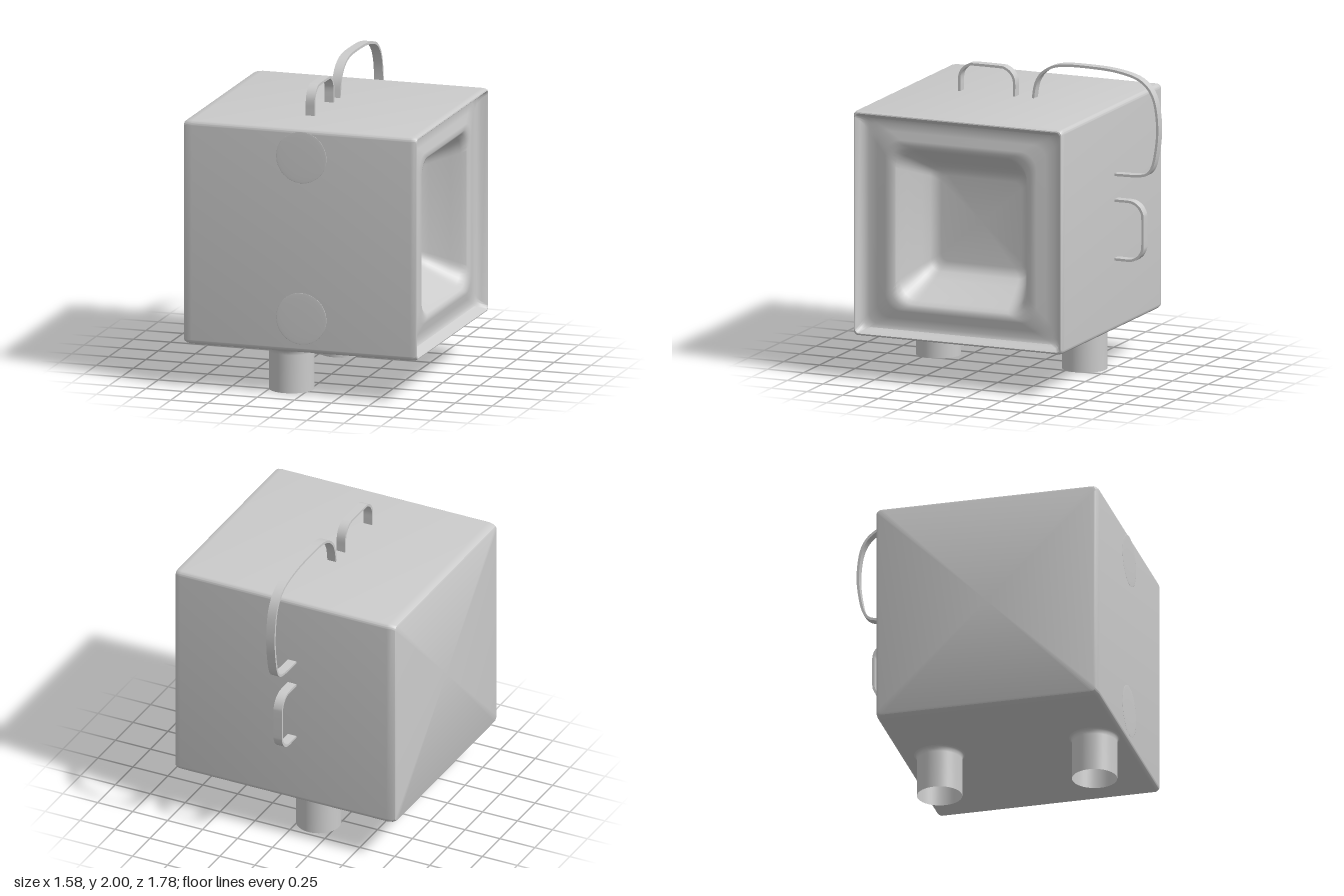
import * as THREE from 'three';
import { toCreasedNormals } from 'three/addons/utils/BufferGeometryUtils.js';

const MID_Y = 1.02, MID_Z = 0.155;
const grey = new THREE.MeshStandardMaterial({ color: 0xcccccc });
const greyBoth = new THREE.MeshStandardMaterial({ color: 0xcccccc, side: THREE.DoubleSide });

function named(name, geometry, material = grey) {
  const mesh = new THREE.Mesh(geometry, material);
  mesh.name = name;
  return mesh;
}

// Rounded rectangle in the zy plane, counted from +z towards +y
function roundedLoop(hz, hy, r, steps = 8) {
  const points = [];
  const signs = [[1, 1], [-1, 1], [-1, -1], [1, -1]];
  signs.forEach(([sz, sy], corner) => {
    for (let i = 0; i <= steps; i++) {
      const a = (corner + i / steps) * Math.PI / 2;
      points.push([sz * (hz - r) + r * Math.cos(a), sy * (hy - r) + r * Math.sin(a)]);
    }
  });
  return points;
}

// Skins rings of [x, half depth, half height, corner radius]
function skin(rings) {
  const positions = [], index = [];
  let n = 0;
  for (const [x, hz, hy, r] of rings) {
    const loop = roundedLoop(hz, hy, r);
    n = loop.length;
    for (const [z, y] of loop) positions.push(x, MID_Y + y, MID_Z + z);
  }
  for (let i = 0; i < rings.length - 1; i++) {
    for (let j = 0; j < n; j++) {
      const a = i * n + j, d = i * n + (j + 1) % n;
      index.push(a, a + n, d + n, a, d + n, d);
    }
  }
  const geometry = new THREE.BufferGeometry();
  geometry.setAttribute('position', new THREE.Float32BufferAttribute(positions, 3));
  geometry.setIndex(index);
  return toCreasedNormals(geometry, 0.7);
}

// Flat strap following a [z, y] path, 0.06 wide along x
function strap(path, tension) {
  const curve = new THREE.CatmullRomCurve3(
    path.map(([z, y]) => new THREE.Vector3(z, y, 0)), false, 'catmullrom', tension);
  const outer = [], inner = [], count = 64, half = 0.008;
  for (let i = 0; i <= count; i++) {
    const p = curve.getPointAt(i / count), t = curve.getTangentAt(i / count);
    outer.push(new THREE.Vector2(p.x - t.y * half, p.y + t.x * half));
    inner.unshift(new THREE.Vector2(p.x + t.y * half, p.y - t.x * half));
  }
  const geometry = new THREE.ExtrudeGeometry(new THREE.Shape([...outer, ...inner]),
    { depth: 0.06, bevelEnabled: false });
  geometry.rotateY(-Math.PI / 2).translate(-0.025, 0, 0);
  return toCreasedNormals(geometry, 0.7);
}

// Small bracket: u runs along the face, v rises from it
function bracketPath(length, height) {
  const r = 0.1, points = [[0, -0.01], [0, (height - r) / 2]];
  for (let i = 0; i <= 5; i++) {
    const a = i / 5 * Math.PI / 2;
    points.push([r * (1 - Math.cos(a)), height - r * (1 - Math.sin(a))]);
  }
  return [...points, ...points.map(([u, v]) => [length - u, v]).reverse()];
}

export function createModel() {
  const model = new THREE.Group();

  // Box with soft edges and a deep pocket in its +x side
  model.add(named('body', skin([
    [-0.79, 0, 0, 0],
    [-0.79, 0.71, 0.71, 0.03],
    [-0.785, 0.722, 0.722, 0.03],
    [-0.765, 0.731, 0.731, 0.03],
    [-0.73, 0.735, 0.735, 0.03],
    [0.745, 0.735, 0.735, 0.03],
    [0.77, 0.733, 0.733, 0.03],
    [0.783, 0.727, 0.727, 0.03],
    [0.785, 0.72, 0.72, 0.03],
    [0.775, 0.712, 0.712, 0.03],
    [0.745, 0.7, 0.7, 0.035],
    [0.722, 0.68, 0.685, 0.05],
    [0.715, 0.65, 0.66, 0.07],
    [0.72, 0.59, 0.61, 0.09],
    [0.735, 0.53, 0.56, 0.11],
    [0.738, 0.49, 0.53, 0.12],
    [0.725, 0.46, 0.51, 0.13],
    [0.69, 0.443, 0.49, 0.13],
    [0.63, 0.425, 0.46, 0.12],
    [0.5, 0.375, 0.385, 0.09],
    [0.44, 0.345, 0.345, 0.07],
    [0.415, 0.315, 0.315, 0.06],
    [0.41, 0.28, 0.28, 0.05],
    [0.41, 0, 0, 0],
  ])));

  // Hollow legs with a small flare under the body
  const legProfile = [[0.145, 0], [0.145, 0.25], [0.148, 0.27], [0.156, 0.281], [0.17, 0.288]]
    .map(([r, y]) => new THREE.Vector2(r, y));
  for (const [name, z] of [['frontLeg', 0.695], ['backLeg', -0.33]]) {
    const leg = named(name, new THREE.LatheGeometry(legProfile, 40), greyBoth);
    leg.position.set(-0.12, 0, z);
    model.add(leg);
  }

  // Small handles on top and back
  model.add(named('topHandle', strap(
    bracketPath(0.385, 0.183).map(([u, v]) => [0.122 + u, 1.755 + v]), 0.5)));
  model.add(named('backHandle', strap(
    bracketPath(0.385, 0.197).map(([u, v]) => [-0.58 - v, 0.752 + u]), 0.5)));

  // Large loop joining the top to the back
  model.add(named('loopHandle', strap([
    [-0.008, 1.745], [-0.03, 1.86], [-0.09, 1.94], [-0.2, 1.985], [-0.4, 1.992],
    [-0.6, 1.98], [-0.76, 1.935], [-0.85, 1.83], [-0.881, 1.64], [-0.865, 1.46],
    [-0.83, 1.35], [-0.76, 1.313], [-0.57, 1.305],
  ], 0.5)));

  // Barely raised round swellings on the front
  for (const [name, y] of [['upperSwelling', 1.57], ['lowerSwelling', 0.51]]) {
    const dome = named(name, new THREE.SphereGeometry(0.17, 32, 16));
    dome.scale.z = 0.015;
    dome.position.set(0.01, y, MID_Z + 0.735);
    model.add(dome);
  }

  return model;
}
